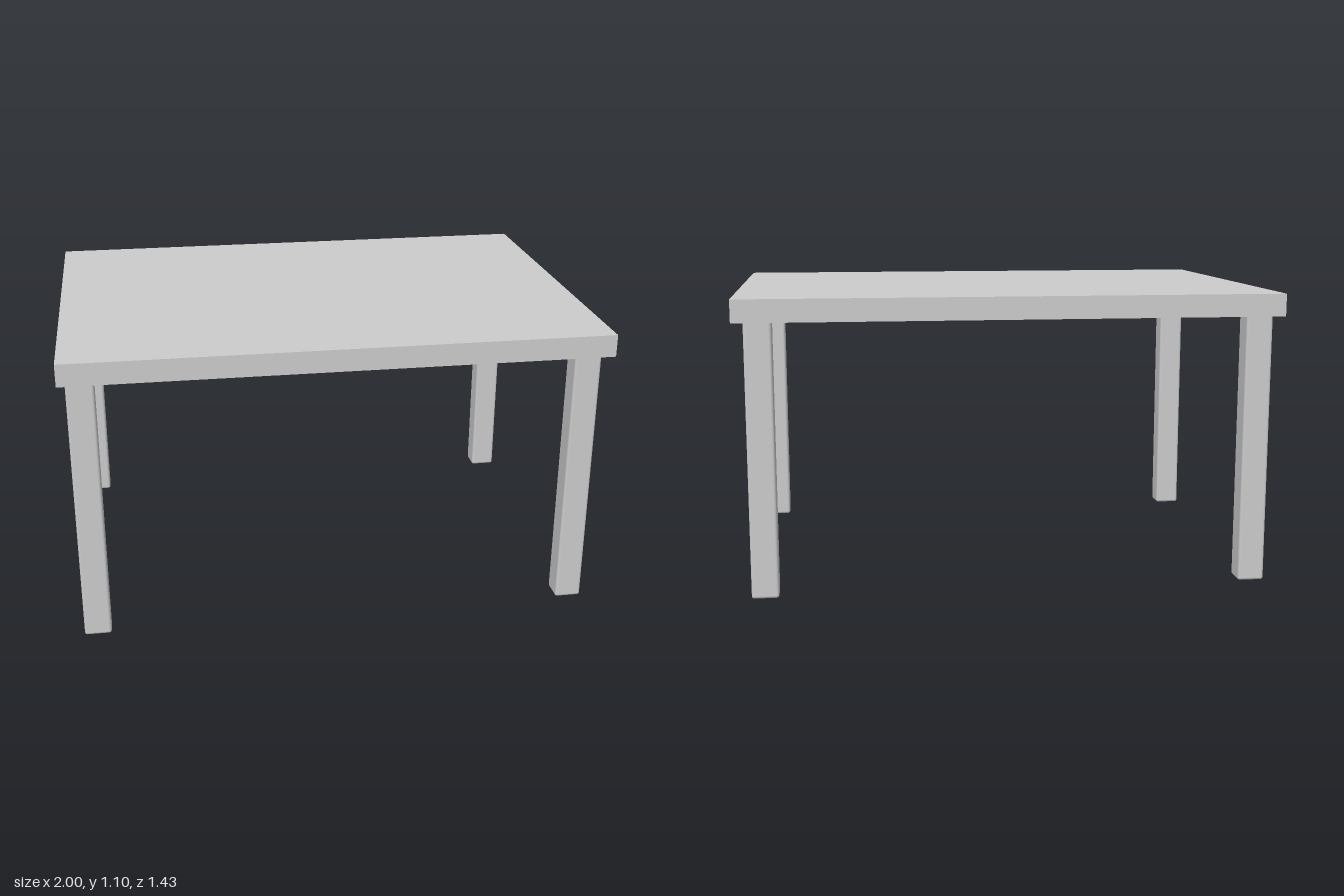
import * as THREE from 'three';
import { RoundedBoxGeometry } from 'three/addons/geometries/RoundedBoxGeometry.js';

export function createModel() {
  const table = new THREE.Group();
  table.name = 'table';
  const material = new THREE.MeshStandardMaterial({ color: 0xcccccc });

  // Flat slab top
  const top = new THREE.Mesh(new THREE.BoxGeometry(2, 0.083, 1.426), material);
  top.name = 'tableTop';
  top.position.y = 1.06;
  table.add(top);

  // Square legs with softened edges, set slightly into the top
  const legHeight = 1.03;
  const legGeometry = new RoundedBoxGeometry(0.1, legHeight, 0.09, 2, 0.01);
  const sidesX = [['Right', -0.923], ['Left', 0.912]];
  const sidesZ = [['front', 0.631], ['back', -0.61]];
  for (const [side, x] of sidesX) {
    for (const [end, z] of sidesZ) {
      const leg = new THREE.Mesh(legGeometry, material);
      leg.name = `${end}${side}Leg`;
      leg.position.set(x, legHeight / 2, z);
      table.add(leg);
    }
  }
  return table;
}
